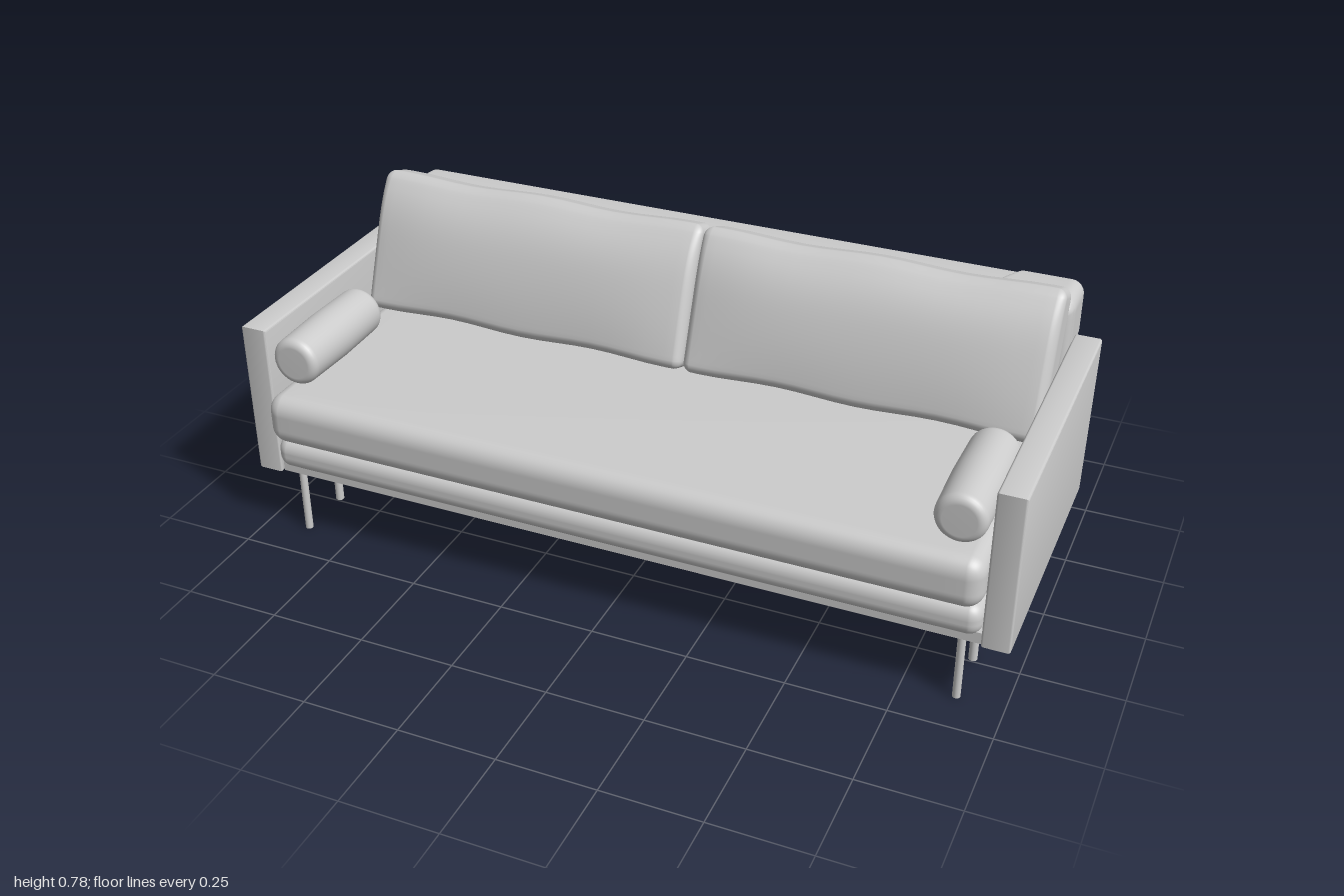
import * as THREE from 'three';
import { mergeVertices, toCreasedNormals } from 'three/addons/utils/BufferGeometryUtils.js';

const material = new THREE.MeshStandardMaterial({ color: 0xcccccc });

function add(parent, name, geometry, x = 0, y = 0, z = 0) {
  const mesh = new THREE.Mesh(geometry, material);
  mesh.name = name;
  mesh.position.set(x, y, z);
  parent.add(mesh);
  return mesh;
}

// Soft rounded block; bend(p, u) may move each point, u is its place from -1 to 1
function cushion(w, h, d, r, bend) {
  let g = new THREE.BoxGeometry(2, 2, 2, 28, 28, 28);
  g.deleteAttribute('normal');
  g.deleteAttribute('uv');
  g = mergeVertices(g);
  const half = new THREE.Vector3(w / 2, h / 2, d / 2);
  const pos = g.attributes.position;
  const p = new THREE.Vector3(), core = new THREE.Vector3(), u = new THREE.Vector3();
  for (let i = 0; i < pos.count; i++) {
    p.fromBufferAttribute(pos, i);
    for (const a of ['x', 'y', 'z']) {
      // a third of the loops at each end shape the rounded edge
      const t = Math.abs(p[a]), s = Math.sign(p[a]), flat = half[a] - r;
      const v = t < 0.6 ? flat * t / 0.6 : flat + r * (t - 0.6) / 0.4;
      p[a] = s * v;
      core[a] = s * Math.min(v, flat);
    }
    p.sub(core);
    if (p.lengthSq() > 0) p.setLength(r);
    p.add(core);
    u.copy(p).divide(half);
    if (bend) bend(p, u);
    pos.setXYZ(i, p.x, p.y, p.z);
  }
  g.computeVertexNormals();
  return g;
}

function box(w, h, d) {
  return new THREE.BoxGeometry(w, h, d);
}

// Side panel outline in z and y, extruded across x
function armGeometry() {
  const b = 0.006;
  const shape = new THREE.Shape([[0.41 - b, 0.175 + b], [0.41 - b, 0.59 - b],
    [-0.37 + b, 0.59 - b], [-0.325 + b, 0.175 + b]].map(([z, y]) => new THREE.Vector2(-z, y)));
  const g = new THREE.ExtrudeGeometry(shape, {
    depth: 0.07 - 2 * b, bevelEnabled: true, bevelSize: b, bevelThickness: b, bevelSegments: 3,
  });
  g.translate(0, 0, -0.035 + b);
  g.rotateY(Math.PI / 2);
  return toCreasedNormals(g, 0.6);
}

// Round pillow along z with soft ends and gentle fullness
function bolsterGeometry(r, length) {
  const pts = [], e = 0.022, L = length / 2;
  pts.push(new THREE.Vector2(0, -L));
  for (let i = 0; i <= 6; i++) {
    const a = i / 6 * Math.PI / 2;
    pts.push(new THREE.Vector2(r - e - 0.003 + e * Math.sin(a), -L + e - e * Math.cos(a)));
  }
  pts.push(new THREE.Vector2(r, 0));
  const mirrored = pts.slice(0, -1).reverse().map(p => new THREE.Vector2(p.x, -p.y));
  const g = new THREE.LatheGeometry([...pts, ...mirrored], 40);
  g.rotateX(Math.PI / 2);
  return g;
}

export function createModel() {
  const sofa = new THREE.Group();
  sofa.name = 'sofa';

  // Seat: padded base, slim plinth and one long cushion
  add(sofa, 'plinth', box(1.86, 0.03, 0.69), 0, 0.19, 0.055);
  add(sofa, 'seatBase', cushion(1.86, 0.085, 0.72, 0.035), 0, 0.2425, 0.07);
  add(sofa, 'seatCushion', cushion(1.86, 0.136, 0.74, 0.045, (p, u) => {
    if (u.y > 0) p.y += 0.006 * (1 - u.x ** 2) * (1 - u.z ** 2);
  }), 0, 0.354, 0.085);

  // Backrest panel with a slight crown and bowed rear
  add(sofa, 'backrest', cushion(1.86, 0.61, 0.16, 0.03, (p, u) => {
    if (u.y > 0.8) p.y += 0.008 * (1 - u.z ** 2);
    if (u.z < 0) p.z -= 0.004 * (1 - u.y ** 2);
  }), 0, 0.395, -0.369);

  // Fitted cover on one upper corner, its inner edge running diagonally
  add(sofa, 'cornerCover', cushion(0.22, 0.165, 0.158, 0.035, (p, u) => {
    if (u.x < 0) p.x += 0.05 * u.x * (u.z - 0.2);
    p.y += 0.006 * (1 - u.z ** 2) * Math.max(u.y, 0);
  }), 0.822, 0.624, -0.376);

  // Side arms, legs and rails, mirrored
  for (const side of [-1, 1]) {
    const prefix = side > 0 ? 'left' : 'right';
    add(sofa, prefix + 'Arm', armGeometry(), side * 0.965, 0, 0);
    add(sofa, prefix + 'SideRail', box(0.035, 0.045, 0.5), side * 0.9, 0.153, -0.005);
    for (const z of [0.237, -0.248]) {
      add(sofa, prefix + 'LegBracket', box(0.05, 0.052, 0.065), side * 0.895, 0.151, z);
      add(sofa, prefix + 'Leg', new THREE.CylinderGeometry(0.011, 0.011, 0.126, 20), side * 0.883, 0.063, z);
    }
    add(sofa, prefix + 'FrontLeg', new THREE.CylinderGeometry(0.01, 0.01, 0.178, 20), side * 0.883, 0.089, 0.387);

    // Leaning back cushion, fuller in the middle of its front
    const back = add(sofa, prefix + 'BackCushion', cushion(0.926, 0.37, 0.122, 0.025, (p, u) => {
      if (u.z > 0) {
        p.z += 0.022 * (1 - u.x ** 4) * (1 - u.y ** 2) * u.z;
        p.z -= 0.03 * Math.max(u.y, 0) ** 3 * u.z;
      }
      p.y += 0.004 * Math.cos(u.x * 7) * u.y;
    }), side * 0.4645, 0.6, -0.168);
    back.rotation.x = -0.365;
  }

  // Under-frame between the side rails
  add(sofa, 'underPanel', box(1.78, 0.035, 0.5), 0, 0.16, -0.005);
  for (const z of [0.235, -0.245]) add(sofa, 'crossRail', box(1.78, 0.045, 0.03), 0, 0.153, z);

  // Bolster pillows
  add(sofa, 'leftBolster', bolsterGeometry(0.066, 0.33), 0.853, 0.49, 0.235);
  add(sofa, 'rightBolster', bolsterGeometry(0.067, 0.33), -0.863, 0.507, 0.235);

  return sofa;
}
